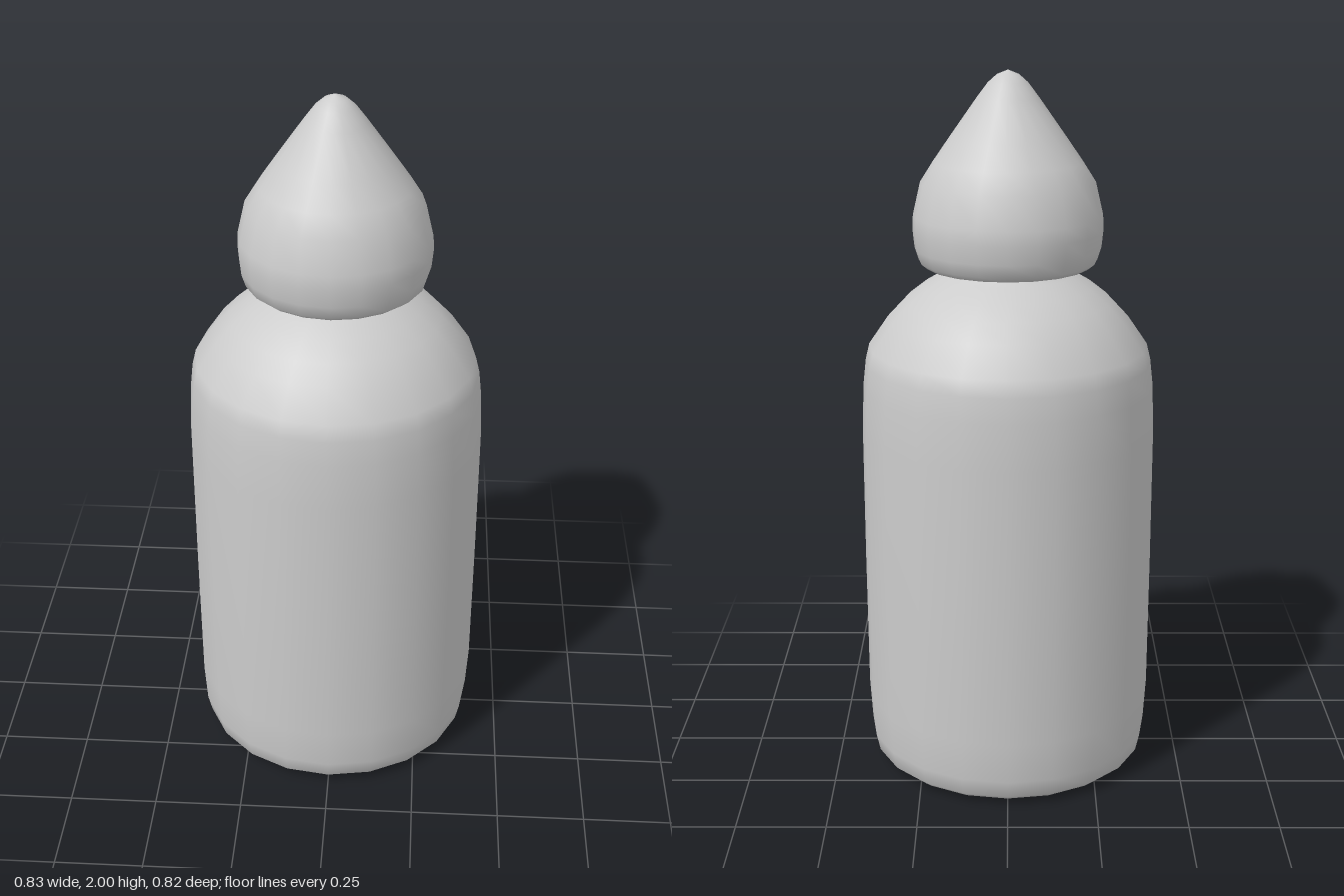
import * as THREE from 'three';

const SIDES = 20;

// Turns a profile of [radius, height] pairs, listed from bottom to top
function turned(name, profile) {
  const points = profile.map(([r, y]) => new THREE.Vector2(r, y));
  const mesh = new THREE.Mesh(
    new THREE.LatheGeometry(points, SIDES),
    new THREE.MeshStandardMaterial({ color: 0xcccccc, side: THREE.DoubleSide })
  );
  mesh.name = name;
  mesh.scale.z = 0.985;
  return mesh;
}

export function createModel() {
  const group = new THREE.Group();
  group.name = 'bottle';

  // Bottle body: flat base, rounded foot, straight wall, domed shoulder and short neck
  group.add(turned('body', [
    [0, 0.005], [0.2, 0.003], [0.32, 0], [0.375, 0.012], [0.397, 0.03], [0.408, 0.08],
    [0.415, 0.2], [0.416, 0.6], [0.415, 1.0], [0.409, 1.13], [0.401, 1.2], [0.39, 1.245],
    [0.335, 1.325], [0.29, 1.373], [0.24, 1.412], [0.185, 1.445], [0.14, 1.465], [0.12, 1.49],
  ]));

  // Pointed cap with a rounded rim and a soft tip
  group.add(turned('cap', [
    [0.11, 1.468], [0.19, 1.465], [0.228, 1.47], [0.247, 1.485], [0.258, 1.52],
    [0.263, 1.57], [0.261, 1.61], [0.24, 1.7], [0.205, 1.755], [0.16, 1.82],
    [0.085, 1.926], [0.054, 1.967], [0.03, 1.988], [0, 2],
  ]));

  return group;
}
